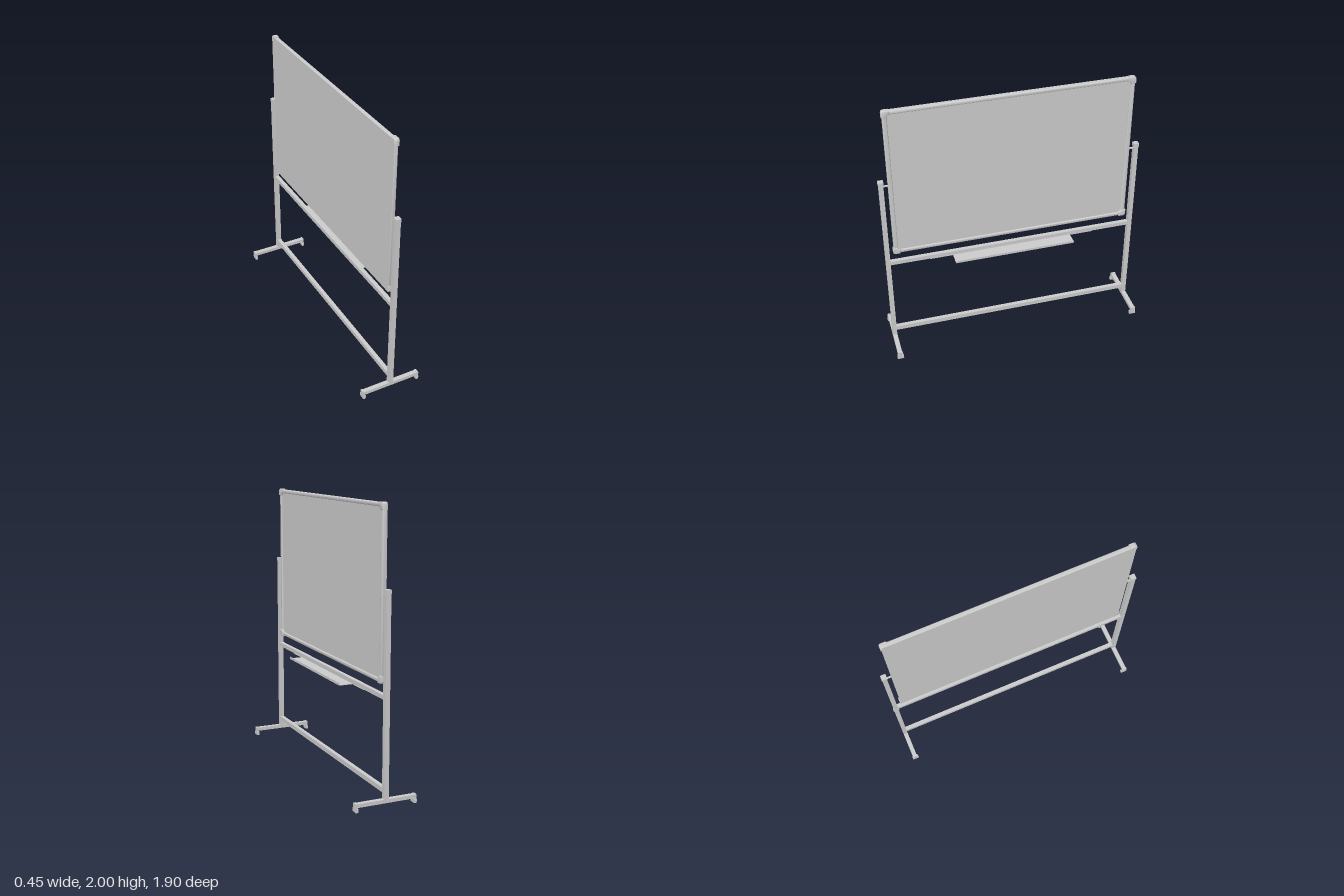
import * as THREE from 'three';
import { toCreasedNormals } from 'three/addons/utils/BufferGeometryUtils.js';

const grey = new THREE.MeshStandardMaterial({ color: 0xcccccc });
const MID_Y = 1.4125; // pivot height and board centre

export function createModel() {
  const model = new THREE.Group();

  const add = (name, geometry) => {
    const mesh = new THREE.Mesh(geometry, grey);
    mesh.name = name;
    model.add(mesh);
    return mesh;
  };
  // Box given by its limits on each axis
  const box = (name, x0, x1, y0, y1, z0, z1) => {
    const g = new THREE.BoxGeometry(x1 - x0, y1 - y0, z1 - z0);
    g.translate((x0 + x1) / 2, (y0 + y1) / 2, (z0 + z1) / 2);
    return add(name, g);
  };
  // Trace a rounded rectangle centred on the origin
  const roundRect = (path, w, h, r) => {
    path.moveTo(-w + r, -h);
    path.lineTo(w - r, -h);
    path.absarc(w - r, -h + r, r, -Math.PI / 2, 0);
    path.lineTo(w, h - r);
    path.absarc(w - r, h - r, r, 0, Math.PI / 2);
    path.lineTo(-w + r, h);
    path.absarc(-w + r, h - r, r, Math.PI / 2, Math.PI);
    path.lineTo(-w, -h + r);
    path.absarc(-w + r, -h + r, r, Math.PI, Math.PI * 1.5);
    return path;
  };
  // Extrude with rounded edges, from x0 to x1, shape lying in the z-y plane
  const slab = (shape, x0, x1, bevel) => {
    const g = new THREE.ExtrudeGeometry(shape, {
      depth: x1 - x0 - 2 * bevel, bevelEnabled: true, bevelThickness: bevel,
      bevelSize: bevel, bevelOffset: -bevel, bevelSegments: 4, curveSegments: 8,
    });
    g.translate(0, 0, x0 + bevel);
    g.rotateY(Math.PI / 2);
    g.translate(0, MID_Y, 0);
    return toCreasedNormals(g, 0.6);
  };

  // Board: writing panel inside a rounded frame
  const ring = roundRect(new THREE.Shape(), 0.878, 0.583, 0.02);
  ring.holes.push(roundRect(new THREE.Path(), 0.845, 0.555, 0.03));
  add('boardFrame', slab(ring, -0.016, 0.015, 0.008));
  box('boardPanel', -0.017, 0.006, 0.831, 1.994, -0.876, 0.876);

  // L-shaped corner caps with rounded outer corners
  for (const sx of [-1, 1]) for (const sy of [-1, 1]) {
    const W = 0.884, H = 0.5875, arm = 0.052, t = 0.038, r = 0.018, f = 0.014;
    const pts = [[W - arm, H]];
    for (let i = 0; i <= 6; i++) {
      const a = Math.PI / 2 * (1 - i / 6);
      pts.push([W - r + r * Math.cos(a), H - r + r * Math.sin(a)]);
    }
    pts.push([W, H - arm], [W - t, H - arm]);
    for (let i = 0; i <= 4; i++) {
      const a = Math.PI / 2 * i / 4;
      pts.push([W - t - f + f * Math.cos(a), H - t - f + f * Math.sin(a)]);
    }
    pts.push([W - arm, H - t]);
    const shape = new THREE.Shape(pts.map(([x, y]) => new THREE.Vector2(sx * x, sy * y)));
    add('cornerCap', slab(shape, -0.017, 0.02, 0.006));
  }

  // Stand sides: upright, cap, pivot and foot
  for (const s of [-1, 1]) {
    const side = (name, x0, x1, y0, y1, a, b) =>
      box(name, x0, x1, y0, y1, Math.min(s * a, s * b), Math.max(s * a, s * b));
    side('upright', -0.017, 0.017, 0.055, 1.425, 0.91, 0.943);
    side('uprightCap', -0.019, 0.019, 1.425, 1.452, 0.907, 0.946);
    const pin = add('pivotPin', new THREE.CylinderGeometry(0.007, 0.007, 0.04, 16).rotateX(Math.PI / 2));
    pin.position.set(0, 1.411, s * 0.894);
    side('footBar', -0.215, 0.215, 0.032, 0.058, 0.91, 0.943);
    for (const e of [-1, 1]) {
      const end = (name, a, b, y0, y1, z0, z1) =>
        side(name, Math.min(e * a, e * b), Math.max(e * a, e * b), y0, y1, z0, z1);
      end('footEndCap', 0.211, 0.226, 0.02, 0.06, 0.907, 0.945);
      end('footPad', 0.207, 0.226, 0, 0.026, 0.9, 0.948);
    }
  }

  // Cross rails
  box('upperRail', -0.015, 0.015, 0.73, 0.76, -0.91, 0.91);
  box('lowerRail', -0.015, 0.015, 0.098, 0.132, -0.91, 0.91);

  // Pen tray with front lip, on a mounting strip under the rail
  box('trayStrip', -0.013, 0.016, 0.726, 0.73, -0.62, 0.62);
  box('trayBase', 0.012, 0.115, 0.726, 0.73, -0.45, 0.45);
  box('trayLip', 0.112, 0.115, 0.73, 0.744, -0.45, 0.45);

  return model;
}
